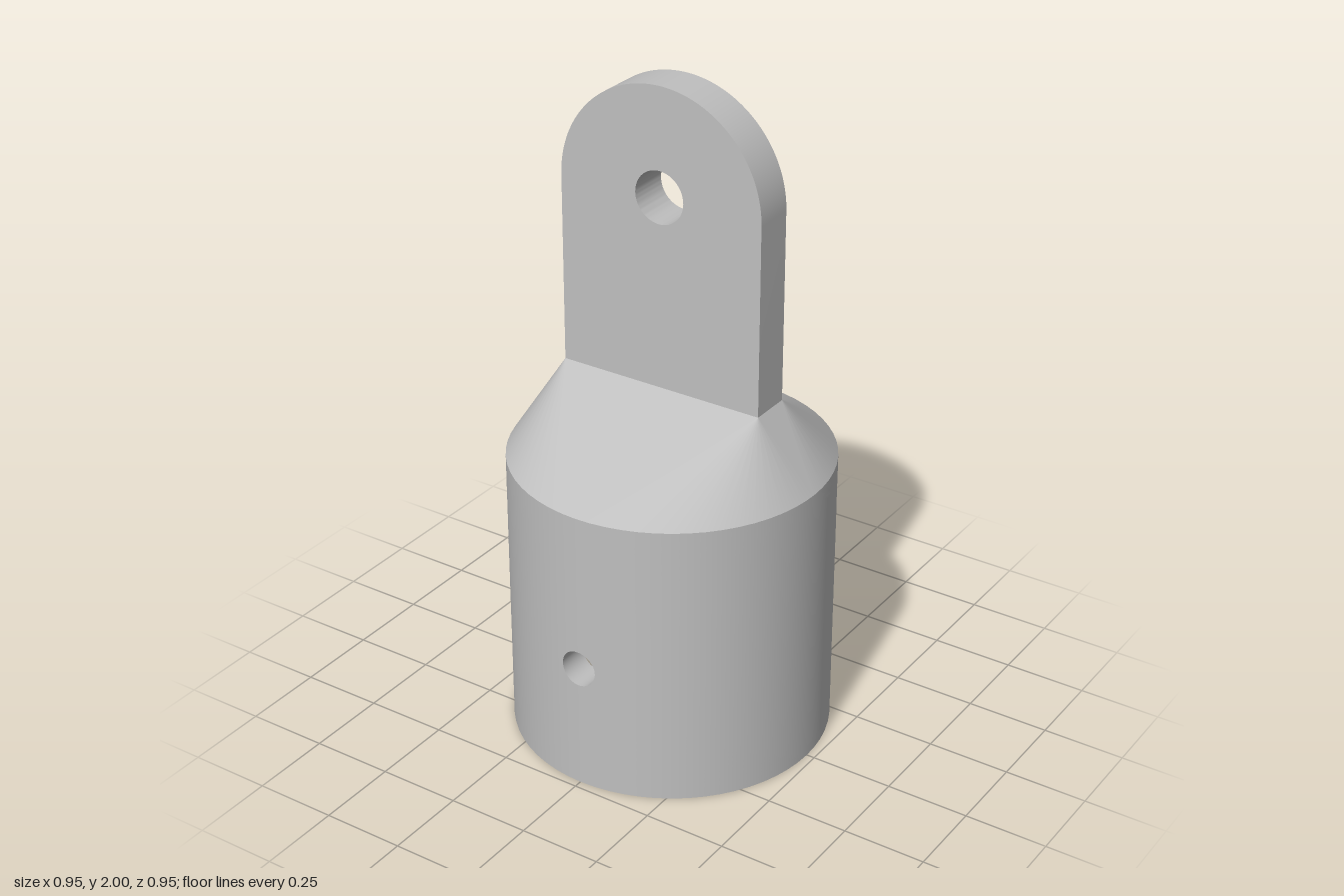
import * as THREE from 'three';
import { toCreasedNormals } from 'three/addons/utils/BufferGeometryUtils.js';

const R = 0.475, BORE = 0.38, H = 0.88;          // socket radii and height
const PIN_R = 0.055, PIN_Y = 0.39;               // cross-pin hole
const LUG_W = 0.325, LUG_Z = 0.0625, LUG_Y = 1.105, EYE_Y = 1.675, EYE_R = 0.078;
const SIDE = 32, AROUND = SIDE * 4;

function geometryFrom(positions, normals, index) {
  const g = new THREE.BufferGeometry();
  g.setAttribute('position', new THREE.Float32BufferAttribute(positions, 3));
  g.setAttribute('normal', new THREE.Float32BufferAttribute(normals, 3));
  if (index) g.setIndex(index);
  return g;
}

// Grid surface; point(i, t) gives [position, normal]
function surface(rows, point, flip) {
  const pos = [], nor = [], idx = [];
  for (let i = 0; i <= AROUND; i++) {
    for (let k = 0; k <= rows; k++) {
      const [p, n] = point(i, k / rows);
      pos.push(...p);
      nor.push(...n);
      if (i === AROUND || k === rows) continue;
      const a = i * (rows + 1) + k, b = a + 1, d = a + rows + 1, c = d + 1;
      if (flip) idx.push(a, c, b, a, d, c);
      else idx.push(a, b, c, a, c, d);
    }
  }
  return geometryFrom(pos, nor, idx);
}

const holeAngle = (i) => -Math.PI / 4 + (2 * Math.PI * i) / AROUND;

// Half of a cylinder wall, meshed outward from the round pin hole to its border
function halfWall(radius, inward) {
  return surface(24, (i, t) => {
    const s = Math.floor(i / SIDE) % 4, e = (2 * (i % SIDE)) / SIDE - 1;
    const [u, v] = [[1, e], [-e, 1], [-1, -e], [e, -1]][s];
    const a = holeAngle(i);
    const theta0 = Math.asin((PIN_R * Math.cos(a)) / radius);
    const theta = THREE.MathUtils.lerp(theta0, (u * Math.PI) / 2, t);
    const y = THREE.MathUtils.lerp(PIN_Y + PIN_R * Math.sin(a), ((v + 1) / 2) * H, t);
    const x = Math.sin(theta), z = Math.cos(theta), sign = inward ? -1 : 1;
    return [[radius * x, y, radius * z], [sign * x, 0, sign * z]];
  }, inward);
}

// Inside of the pin hole, from the bore to the outer wall
function pinHole() {
  return surface(1, (i, t) => {
    const a = holeAngle(i), x = PIN_R * Math.cos(a), r = t ? R : BORE;
    return [[x, PIN_Y + PIN_R * Math.sin(a), Math.sqrt(r * r - x * x)], [-Math.cos(a), -Math.sin(a), 0]];
  });
}

// Round-to-rectangle transition: a cone fan at each corner, a flat triangle between
function transition() {
  const pos = [], nor = [], n = 16;
  const corner = (q) => {
    const a = (q + 0.5) * Math.PI / 2;
    return new THREE.Vector3(Math.sign(Math.sin(a)) * LUG_W, LUG_Y, Math.sign(Math.cos(a)) * LUG_Z);
  };
  const rim = (a) => new THREE.Vector3(R * Math.sin(a), H, R * Math.cos(a));
  const normal = (a, c) =>
    new THREE.Vector3(Math.cos(a), 0, -Math.sin(a)).cross(c.clone().sub(rim(a))).normalize();
  const triangle = (points, normals) => {
    points.forEach((p) => pos.push(p.x, p.y, p.z));
    normals.forEach((m) => nor.push(m.x, m.y, m.z));
  };
  for (let q = 0; q < 4; q++) {
    const c = corner(q);
    for (let i = 0; i < n; i++) {
      const a = (q + i / n) * Math.PI / 2, b = (q + (i + 1) / n) * Math.PI / 2;
      const na = normal(a, c), nb = normal(b, c);
      triangle([rim(a), rim(b), c], [na, nb, na.clone().add(nb).normalize()]);
    }
    const end = (q + 1) * Math.PI / 2, m = normal(end, c);
    triangle([rim(end), corner(q + 1), c], [m, m, m]);
  }
  return geometryFrom(pos, nor);
}

// Flat lug with a rounded top and an eye
function lug() {
  const s = new THREE.Shape();
  s.moveTo(-LUG_W, LUG_Y);
  s.lineTo(LUG_W, LUG_Y);
  s.lineTo(LUG_W, EYE_Y);
  s.absarc(0, EYE_Y, LUG_W, 0, Math.PI, false);
  s.closePath();
  s.holes.push(new THREE.Path().absarc(0, EYE_Y + 0.005, EYE_R, 0, Math.PI * 2, true));
  const g = new THREE.ExtrudeGeometry(s, { depth: 2 * LUG_Z, bevelEnabled: false, curveSegments: 40 });
  g.translate(0, 0, -LUG_Z);
  return toCreasedNormals(g, Math.PI / 6);
}

export function createModel() {
  const model = new THREE.Group();
  model.name = 'eyeEndFitting';
  const metal = new THREE.MeshStandardMaterial({ color: 0xbfbfbf });
  metal.name = 'grey metal';
  const add = (parent, name, geometry) => {
    const mesh = new THREE.Mesh(geometry, metal);
    mesh.name = name;
    parent.add(mesh);
    return mesh;
  };

  // Socket, as matching front and back halves
  const outer = halfWall(R, false), inner = halfWall(BORE, true), hole = pinHole();
  ['front', 'back'].forEach((side, i) => {
    const half = new THREE.Group();
    half.name = side + 'SocketHalf';
    half.rotation.y = i * Math.PI;
    add(half, side + 'OuterWall', outer);
    add(half, side + 'BoreWall', inner);
    add(half, side + 'PinHole', hole);
    model.add(half);
  });
  add(model, 'socketRim', new THREE.RingGeometry(BORE, R, 64)).rotation.x = Math.PI / 2;
  const bottom = add(model, 'boreEnd', new THREE.CircleGeometry(BORE, 64));
  bottom.rotation.x = Math.PI / 2;
  bottom.position.y = H;

  add(model, 'shoulder', transition());
  add(model, 'lug', lug());
  return model;
}
